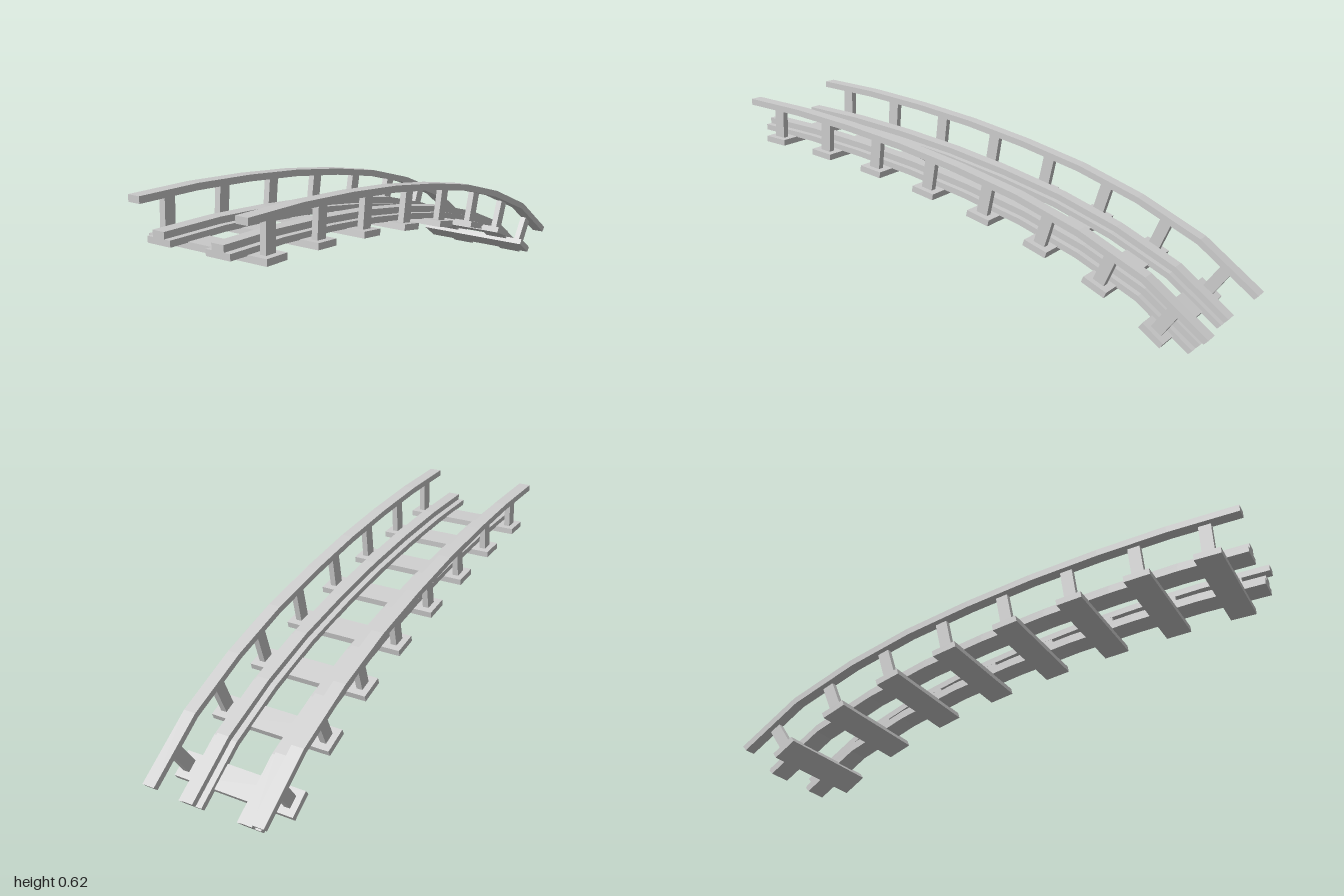
import * as THREE from 'three';

const rad = THREE.MathUtils.degToRad;

// Track centre line at the joints between sections, low end first: z, y, slope in degrees
const joints = [
  [-0.897, -0.008, 43], [-0.70, 0.13, 29], [-0.47, 0.229, 20.6], [-0.235, 0.303, 15], [0.007, 0.357, 11.3],
  [0.255, 0.401, 8.7], [0.505, 0.433, 6.3], [0.755, 0.456, 4], [1, 0.467, 0],
];
const sections = joints.length - 1;

// Position and slope at joint i
function jointFrame(i) {
  const [z, y, deg] = joints[i];
  return { z, y, a: rad(deg) };
}

// Position and slope at the middle of section i, bulged slightly to follow the arc
function middleFrame(i) {
  const p = jointFrame(i), q = jointFrame(i + 1);
  const a = Math.atan2(q.y - p.y, q.z - p.z);
  const bulge = Math.hypot(q.z - p.z, q.y - p.y) * (p.a - q.a) / 8;
  return {
    z: (p.z + q.z) / 2 - Math.sin(a) * bulge,
    y: (p.y + q.y) / 2 + Math.cos(a) * bulge,
    a,
  };
}

// Extrude an x / height profile and bend it along the track
function bentBar(points) {
  const shape = new THREE.Shape(points.map(([x, h]) => new THREE.Vector2(x, h)));
  const geo = new THREE.ExtrudeGeometry(shape, { depth: sections, steps: sections, bevelEnabled: false });
  const pos = geo.attributes.position;
  for (let k = 0; k < pos.count; k++) {
    const f = jointFrame(Math.round(pos.getZ(k)));
    const h = pos.getY(k);
    pos.setXYZ(k, pos.getX(k), f.y + Math.cos(f.a) * h, f.z - Math.sin(f.a) * h);
  }
  geo.computeVertexNormals();
  return geo;
}

export function createModel() {
  const model = new THREE.Group();
  model.name = 'curvedTrack';
  const material = new THREE.MeshStandardMaterial({ color: 0xcccccc, flatShading: true });
  const add = (parent, geo, name) => {
    const mesh = new THREE.Mesh(geo, material);
    mesh.name = name;
    parent.add(mesh);
    return mesh;
  };

  // Stepped running rails and handrails on both sides
  for (const [side, c] of [['left', 1], ['right', -1]]) {
    const rx = c * 0.118, hx = c * 0.2135;
    add(model, bentBar([
      [rx - 0.047, 0.011], [rx + 0.047, 0.011], [rx + 0.047, 0.033], [rx + 0.0235, 0.033],
      [rx + 0.0235, 0.056], [rx - 0.0235, 0.056], [rx - 0.0235, 0.033], [rx - 0.047, 0.033],
    ]), side + 'Rail');
    add(model, bentBar([
      [hx - 0.0235, 0.128], [hx + 0.0235, 0.128], [hx + 0.0235, 0.152], [hx - 0.0235, 0.152],
    ]), side + 'Handrail');
  }

  // One sleeper with two handrail posts per section
  const sleeperGeo = new THREE.BoxGeometry(0.474, 0.023, 0.095);
  const postGeo = new THREE.BoxGeometry(0.023, 0.122, 0.045);
  for (let i = 0; i < sections; i++) {
    const f = middleFrame(i);
    const group = new THREE.Group();
    group.name = 'sleeperWithPosts' + (i + 1);
    group.position.set(0, f.y, f.z);
    group.rotation.x = -f.a;
    add(group, sleeperGeo, 'sleeper');
    add(group, postGeo, 'leftPost').position.set(0.202, 0.069, 0);
    add(group, postGeo, 'rightPost').position.set(-0.202, 0.069, 0);
    model.add(group);
  }
  return model;
}
